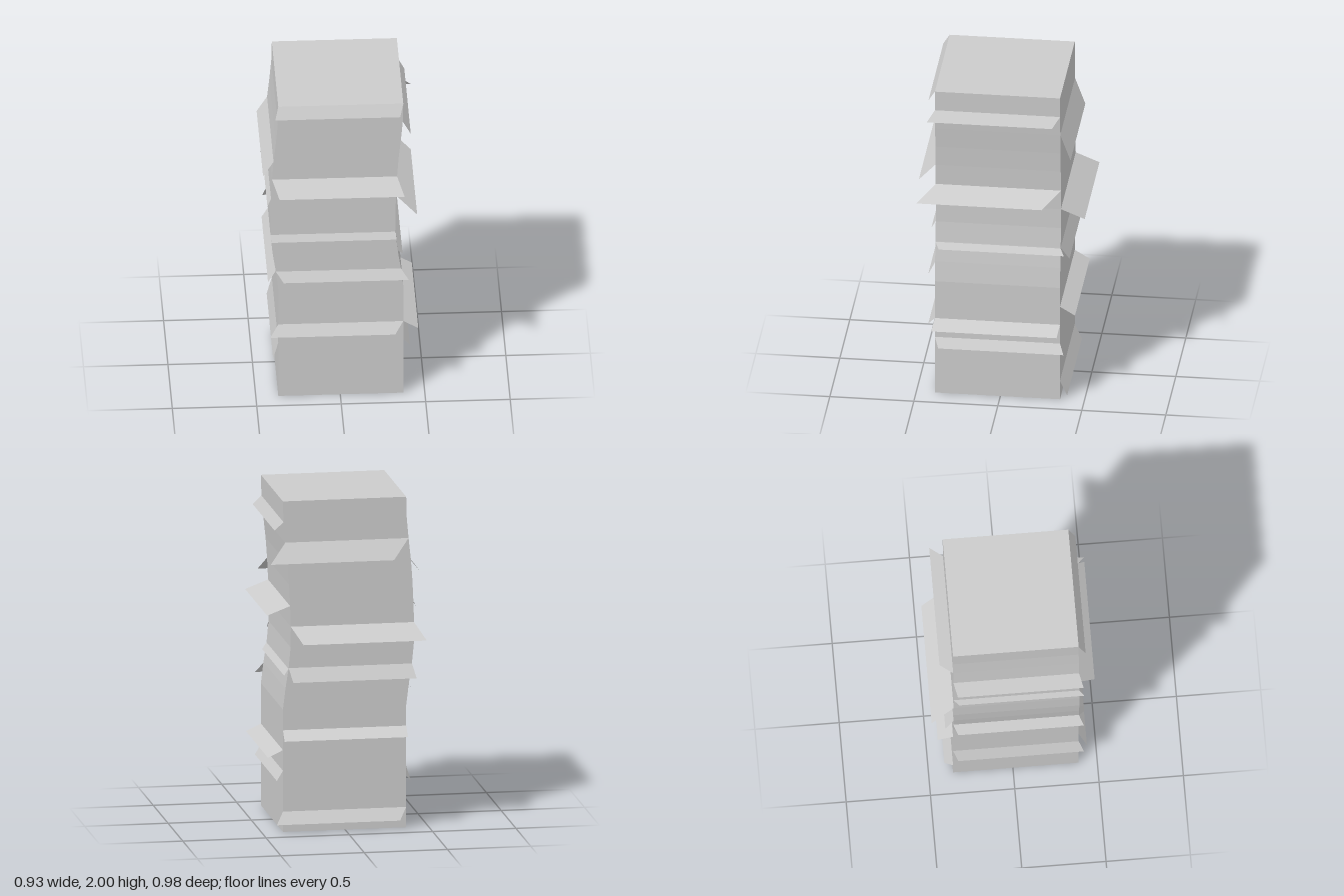
import * as THREE from 'three';

const LEFT = -0.367, RIGHT = 0.373, BACK = -0.355, FRONT = 0.39;

// Sideways bend of the column: [height, x offset]
const BEND = [
  [0, 0], [0.74, 0], [0.865, -0.015], [0.99, -0.034], [1.115, -0.046], [1.24, -0.047],
  [1.365, -0.043], [1.495, -0.037], [1.62, -0.028], [1.75, -0.014], [1.875, -0.003], [2, 0],
];

function bendAt(y) {
  for (let i = 1; i < BEND.length; i++) {
    const [y0, b0] = BEND[i - 1], [y1, b1] = BEND[i];
    if (y <= y1) return b0 + (b1 - b0) * (y - y0) / (y1 - y0);
  }
  return 0;
}

// Flaps per wall: [top height, bottom height, outward depth, sideways shift of the lower edge]
const FLAPS = {
  front: [
    [2, 1.93, 0.04, -0.02], [1.497, 1.412, 0.095, 0.04], [1.115, 1.075, 0.025, 0.005],
    [0.86, 0.8, 0.036, 0.045], [0.495, 0.43, 0.045, -0.05],
  ],
  back: [
    [1.75, 1.635, 0.073, 0.1], [1.24, 1.155, 0.135, -0.053], [0.99, 0.91, 0.05, -0.02],
    [0.615, 0.565, 0.09, 0.006], [0.123, 0.052, 0.048, 0.045],
  ],
  left: [
    [1.875, 1.815, 0.045, 0.043], [1.365, 1.29, 0.12, 0.1], [0.985, 0.95, 0.03, -0.022],
    [0.495, 0.45, 0.088, 0.01], [0.37, 0.315, 0.041, -0.025],
  ],
  right: [
    [1.62, 1.535, 0.063, 0.022], [1.365, 1.33, 0.023, 0.03],
    [0.865, 0.805, 0.047, 0.026], [0.37, 0.275, 0.032, 0.029],
  ],
};

// One slanted sheet hanging from a wall
function flapGeometry(wall, [top, bottom, depth, shift]) {
  const b = bendAt(top);
  const corners = {
    front: [[LEFT + b, FRONT], [RIGHT + b, FRONT]],
    back: [[RIGHT + b, BACK], [LEFT + b, BACK]],
    left: [[RIGHT + b, FRONT], [RIGHT + b, BACK]],
    right: [[LEFT + b, BACK], [LEFT + b, FRONT]],
  }[wall];
  const alongX = wall === 'front' || wall === 'back';
  const out = wall === 'front' || wall === 'left' ? depth : -depth;
  const dx = alongX ? shift : out, dz = alongX ? out : shift;
  const [[x0, z0], [x1, z1]] = corners;
  const geometry = new THREE.BufferGeometry();
  geometry.setAttribute('position', new THREE.Float32BufferAttribute([
    x0, top, z0, x1, top, z1,
    x0 + dx, bottom, z0 + dz, x1 + dx, bottom, z1 + dz,
  ], 3));
  geometry.setIndex([0, 2, 1, 1, 2, 3]);
  geometry.computeVertexNormals();
  return geometry;
}

export function createModel() {
  const model = new THREE.Group();
  model.name = 'bentColumn';
  const material = new THREE.MeshStandardMaterial({ color: 0xcccccc, flatShading: true });
  const sheetMaterial = material.clone();
  sheetMaterial.side = THREE.DoubleSide;

  // Trunk: bent outline extruded from back to front
  const outline = [
    ...BEND.map(([y, b]) => new THREE.Vector2(RIGHT + b, y)),
    ...BEND.map(([y, b]) => new THREE.Vector2(LEFT + b, y)).reverse(),
  ];
  const trunk = new THREE.Mesh(
    new THREE.ExtrudeGeometry(new THREE.Shape(outline), { depth: FRONT - BACK, bevelEnabled: false }),
    material,
  );
  trunk.geometry.translate(0, 0, BACK);
  trunk.name = 'trunk';
  model.add(trunk);

  // Flaps on all four walls
  for (const [wall, list] of Object.entries(FLAPS)) {
    const group = new THREE.Group();
    group.name = wall + 'Flaps';
    list.forEach((flap, i) => {
      const mesh = new THREE.Mesh(flapGeometry(wall, flap), sheetMaterial);
      mesh.name = `${wall}Flap${i + 1}`;
      group.add(mesh);
    });
    model.add(group);
  }
  return model;
}
